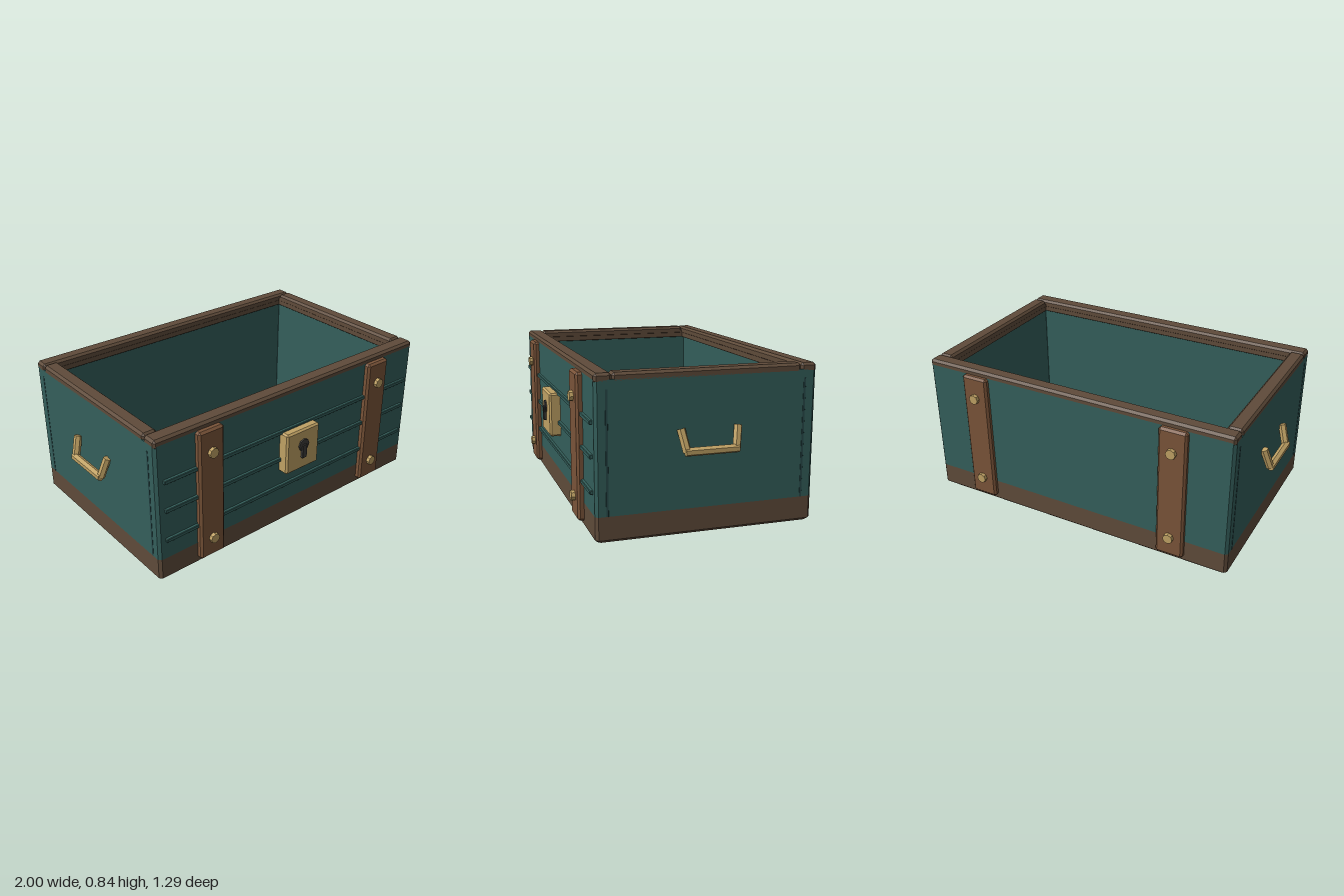
import * as THREE from 'three';
import { ConvexGeometry } from 'three/addons/geometries/ConvexGeometry.js';

const material = (name, color) => {
  const m = new THREE.MeshStandardMaterial({ color });
  m.name = name;
  return m;
};

export function createModel() {
  const teal = material('teal', 0x345f5b);
  const seamTeal = material('seamTeal', 0x28494a);
  const brown = material('darkWood', 0x5f4b3a);
  const strapBrown = material('strapLeather', 0x7a5439);
  const brass = material('brass', 0xbfa164);
  const floorGrey = material('floorGrey', 0x4b4741);
  const panelGrey = material('panelGrey', 0x726f68);
  const dark = material('darkIron', 0x3c3a38);

  const model = new THREE.Group();
  model.name = 'openTrunk';
  const add = (name, geometry, mat, parent = model) => {
    const mesh = new THREE.Mesh(geometry, mat);
    mesh.name = name;
    parent.add(mesh);
    return mesh;
  };

  // Box between two corners with every edge chamfered by c
  const block = (name, mat, [x0, x1], [y0, y1], [z0, z1], c) => {
    const half = [(x1 - x0) / 2, (y1 - y0) / 2, (z1 - z0) / 2];
    const points = [];
    for (const sx of [-1, 1]) for (const sy of [-1, 1]) for (const sz of [-1, 1]) {
      for (let axis = 0; axis < 3; axis++) {
        const p = half.map((h, i) => (i === axis ? h : h - c));
        points.push(new THREE.Vector3(p[0] * sx, p[1] * sy, p[2] * sz));
      }
    }
    const mesh = add(name, new ConvexGeometry(points), mat);
    mesh.position.set((x0 + x1) / 2, (y0 + y1) / 2, (z0 + z1) / 2);
  };

  // Flat-shaded cylinder along y
  const facetedCylinder = (top, bottom, length, sides) => {
    const g = new THREE.CylinderGeometry(top, bottom, length, sides).toNonIndexed();
    g.computeVertexNormals();
    return g;
  };

  // Rectangle with cut corners, centred on the trunk
  const CZ = -0.015;
  const outline = (hx, hz, c) => [
    [hx, hz - c], [hx - c, hz], [c - hx, hz], [-hx, hz - c],
    [-hx, c - hz], [c - hx, -hz], [hx - c, -hz], [hx, c - hz],
  ].map(([x, z]) => new THREE.Vector2(x, z));
  const HX = 0.93, HZ = 0.582, C = 0.015;

  // Solid base with a chamfered foot
  const ring = (inset, y) => outline(HX - inset, HZ - inset, C)
    .map((p) => new THREE.Vector3(p.x, y, p.y + CZ));
  add('base', new ConvexGeometry([...ring(0.015, 0), ...ring(0, 0.015), ...ring(0, 0.09)]), brown);

  // Hollow walls: brown skirting, then teal
  const frame = (name, mat, y0, y1) => {
    const shape = new THREE.Shape(outline(HX, HZ, C));
    shape.holes.push(new THREE.Path(outline(0.87, 0.522, 0.001)));
    const g = new THREE.ExtrudeGeometry(shape, { depth: y1 - y0, bevelEnabled: false });
    g.rotateX(-Math.PI / 2);
    add(name, g, mat).position.set(0, y0, CZ);
  };
  frame('skirting', brown, 0.09, 0.135);
  frame('walls', teal, 0.135, 0.81);

  // Floor with two pale raised panels
  block('floor', floorGrey, [-0.872, 0.872], [0.08, 0.105], [-0.539, 0.509], 0.001);
  block('floorPanelRight', panelGrey, [-0.565, -0.065], [0.09, 0.13], [-0.395, 0.175], 0.012);
  block('floorPanelLeft', panelGrey, [0.05, 0.55], [0.09, 0.13], [-0.395, 0.175], 0.012);

  // Rim rails, with a lip hanging inside the walls
  block('frontRail', brown, [-HX, HX], [0.79, 0.842], [0.477, 0.567], 0.013);
  block('backRail', brown, [-HX, HX], [0.79, 0.842], [-0.597, -0.512], 0.013);
  block('frontLip', brown, [-0.88, 0.88], [0.77, 0.82], [0.479, 0.52], 0.002);
  block('backLip', brown, [-0.88, 0.88], [0.77, 0.82], [-0.55, -0.514], 0.002);
  for (const s of [-1, 1]) {
    const span = (a, b) => (s > 0 ? [a, b] : [-b, -a]);
    const side = s > 0 ? 'left' : 'right';
    block(side + 'Rail', brown, span(0.845, HX), [0.79, 0.842], [-0.513, 0.478], 0.013);
    block(side + 'Lip', brown, span(0.847, 0.88), [0.77, 0.82], [-0.53, 0.5], 0.002);
    // Upright seams of the end panels
    for (const z of [0.507, -0.533]) {
      block(side + 'Seam', seamTeal, span(0.925, 0.9315), [0.135, 0.765], [z - 0.006, z + 0.006], 0.0005);
    }
  }

  // Horizontal ribs on the front
  for (const y of [0.6, 0.43, 0.25]) {
    block('frontRib', teal, [-0.887, 0.887], [y - 0.011, y + 0.011], [0.555, 0.583], 0.003);
  }

  // Straps with rivets, front and back
  for (const x of [-0.607, 0.607]) for (const s of [1, -1]) {
    const face = s > 0 ? 0.6 : -0.625;
    const back = s > 0 ? 0.55 : -0.58;
    block(s > 0 ? 'frontStrap' : 'backStrap', strapBrown, [x - 0.08, x + 0.08], [0.036, 0.81],
      [Math.min(face, back), Math.max(face, back)], 0.012);
    for (const y of [0.68, 0.154]) {
      const g = facetedCylinder(0.028, 0.029, 0.04, 8);
      g.rotateX(s * Math.PI / 2);
      add('rivet', g, brass).position.set(x, y, face);
    }
  }

  // Lock plate and stepped keyhole
  block('lockPlate', brass, [-0.12, 0.12], [0.35, 0.6], [0.55, 0.628], 0.01);
  const hole = facetedCylinder(0.037, 0.037, 0.016, 8);
  hole.rotateX(Math.PI / 2);
  add('keyholeRound', hole, dark).position.set(0, 0.505, 0.628);
  block('keyholeSlot', dark, [-0.016, 0.016], [0.427, 0.51], [0.62, 0.644], 0.002);

  // Faceted bar handles on both ends
  const bar = (a, b, parent) => {
    const dir = b.clone().sub(a);
    const mesh = add('handleBar', facetedCylinder(0.022, 0.022, dir.length(), 6), brass, parent);
    mesh.position.copy(a).add(b).multiplyScalar(0.5);
    mesh.quaternion.setFromUnitVectors(new THREE.Vector3(0, 1, 0), dir.normalize());
  };
  for (const s of [-1, 1]) {
    const handle = new THREE.Group();
    handle.name = s > 0 ? 'leftHandle' : 'rightHandle';
    const at = (x, y, z) => new THREE.Vector3(s * x, y, CZ + z);
    bar(at(0.98, 0.441, -0.14), at(0.98, 0.441, 0.14), handle);
    for (const z of [-1, 1]) bar(at(0.976, 0.438, 0.13 * z), at(0.94, 0.55, 0.151 * z), handle);
    model.add(handle);
  }

  return model;
}
